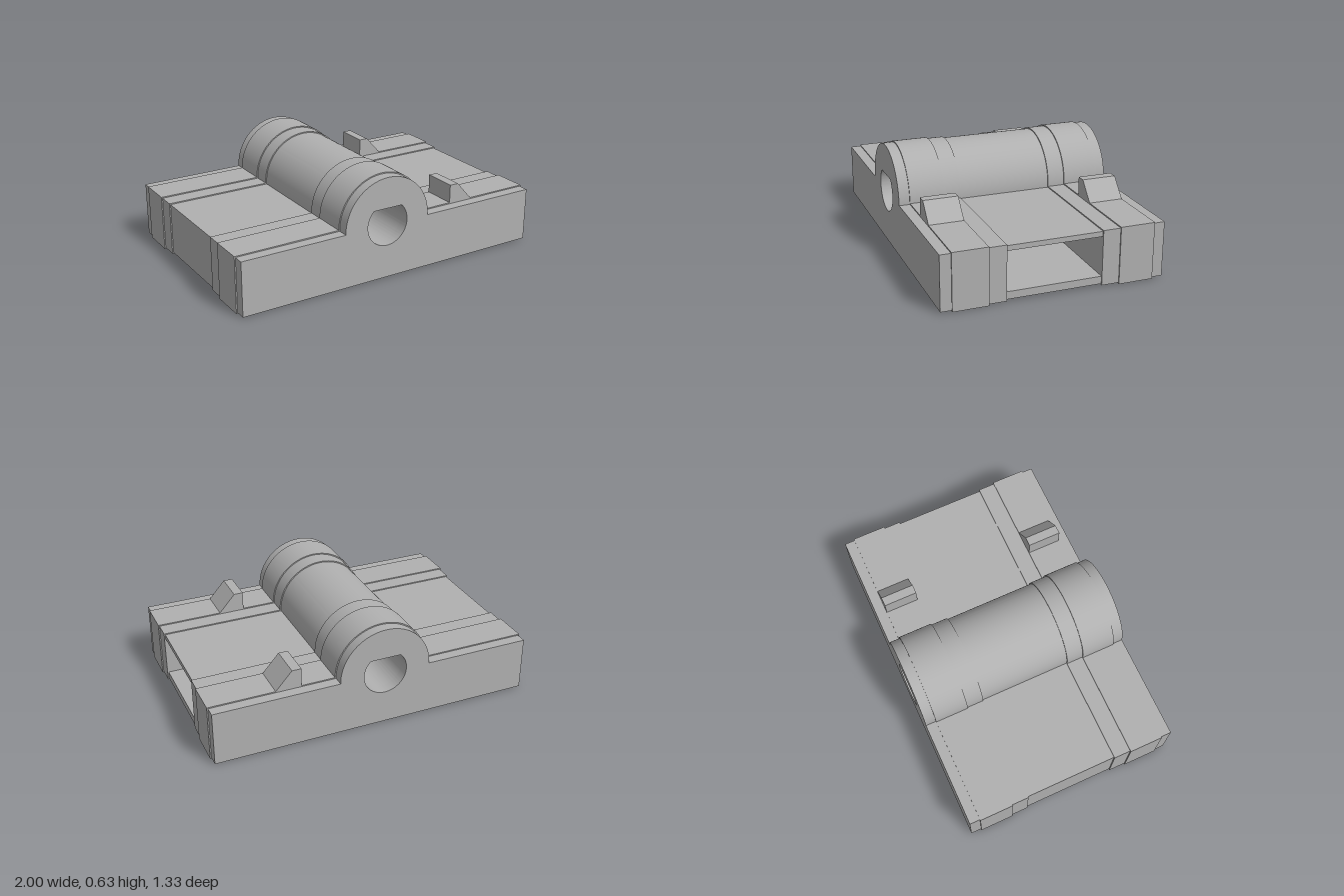
import * as THREE from 'three';
import { toCreasedNormals } from 'three/addons/utils/BufferGeometryUtils.js';

const AXIS_X = -0.055, AXIS_Y = 0.345;

// Slab with a rounded barrel on top; inset shrinks the outline all round
function blockShape(inset, pocket = false) {
  const edge = 1 - inset, top = AXIS_Y - inset, r = 0.29 - inset;
  const drop = Math.asin(inset / r);
  const s = new THREE.Shape();
  s.moveTo(-edge, inset);
  s.lineTo(edge, inset);
  if (pocket) {
    s.lineTo(edge, 0.06);
    s.lineTo(0.25, 0.06);
    s.lineTo(0.25, 0.3);
    s.lineTo(edge, 0.3);
  }
  s.lineTo(edge, top);
  s.absarc(AXIS_X, AXIS_Y, r, -drop, Math.PI + drop, false);
  s.lineTo(-edge, top);
  s.closePath();
  return s;
}

// Round bore with a pointed roof
function teardrop() {
  const r = 0.135, h = new THREE.Path();
  h.moveTo(AXIS_X, AXIS_Y + r * Math.SQRT2);
  h.absarc(AXIS_X, AXIS_Y, r, Math.PI * 0.75, Math.PI * 2.25, false);
  h.closePath();
  return h;
}

export function createModel() {
  const group = new THREE.Group();
  const grey = new THREE.MeshStandardMaterial({ color: 0xb0b0b0 });
  grey.name = 'grey';

  function addExtrusion(name, shape, z0, z1) {
    const geo = new THREE.ExtrudeGeometry(shape, { depth: z1 - z0, bevelEnabled: false, curveSegments: 40 });
    geo.translate(0, 0, z0);
    const mesh = new THREE.Mesh(toCreasedNormals(geo, 0.5), grey);
    mesh.name = name;
    group.add(mesh);
  }

  // Middle section with a pocket open to the left side
  addExtrusion('middleSection', blockShape(0.014, true), -0.285, 0.285);

  // Stepped bands at both ends, bored for a pin
  const bands = [
    ['innerBand', 0.285, 0.39, 0.007],
    ['raisedBand', 0.39, 0.6, 0],
    ['endBand', 0.6, 0.665, 0.007],
  ];
  // Wedge-shaped catch
  const wedge = new THREE.Shape([[0.44, 0.33], [0.61, 0.33], [0.597, 0.345], [0.497, 0.457], [0.44, 0.457]]
    .map(([x, y]) => new THREE.Vector2(x, y)));

  for (const side of [1, -1]) {
    const end = side > 0 ? 'front' : 'back';
    const add = (name, shape, a, b) =>
      addExtrusion(`${end} ${name}`, shape, side > 0 ? a : -b, side > 0 ? b : -a);
    for (const [name, a, b, inset] of bands) {
      const shape = blockShape(inset);
      shape.holes.push(teardrop());
      add(name, shape, a, b);
    }
    add('catch', wedge, 0.39, 0.6);
  }
  return group;
}
